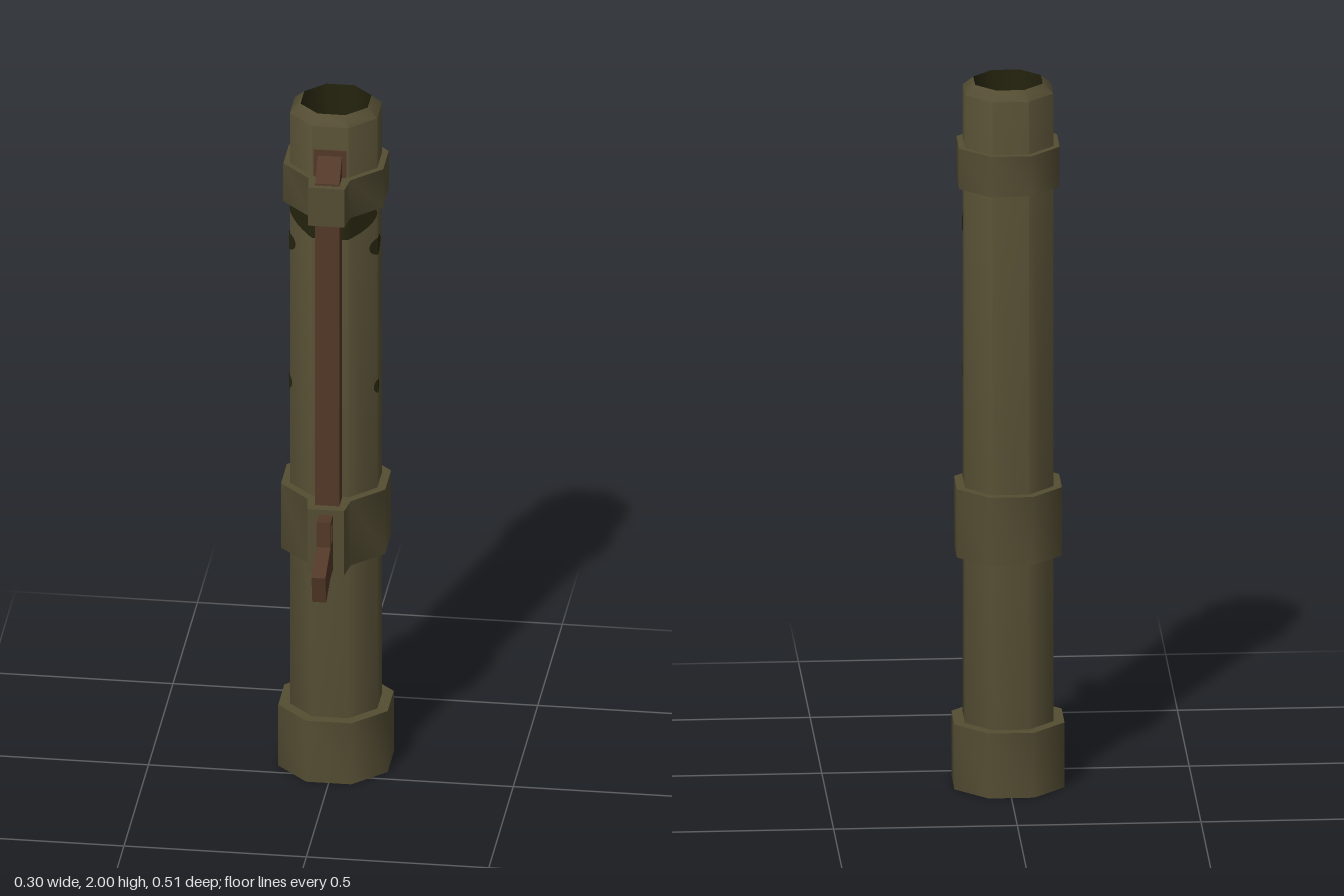
import * as THREE from 'three';
import { toCreasedNormals } from 'three/addons/utils/BufferGeometryUtils.js';

const AXIS_Z = -0.105;              // tube axis
const T = Math.tan(Math.PI / 8);    // half side of an octagon with apothem 1
const C = Math.cos(Math.PI / 8);
const R = 0.12;                     // tube apothem

const mat = (name, color, side = THREE.FrontSide) => {
  const m = new THREE.MeshStandardMaterial({ color, side });
  m.name = name;
  return m;
};

// Eight-sided turned part, profile as [apothem, height]
function octagonLathe(profile) {
  const pts = profile.map(([a, y]) => new THREE.Vector2(a / C, y));
  const g = new THREE.LatheGeometry(pts, 8, Math.PI / 8);
  return toCreasedNormals(g, 0.85).translate(0, 0, AXIS_Z);
}

// Octagonal clamp with a raised block on its front
function clampGeometry(a, frontZ, y0, y1) {
  const h = a * T;
  const right = [[h, -a], [a, -h], [a, h], [h, a], [0.05, frontZ - AXIS_Z]];
  const outline = [...right, ...right.map(([x, z]) => [-x, z]).reverse()];
  const shape = new THREE.Shape(outline.map(([x, z]) => new THREE.Vector2(x, -z)));
  const g = new THREE.ExtrudeGeometry(shape, { depth: y1 - y0, bevelEnabled: false });
  g.rotateX(-Math.PI / 2).translate(0, y0, AXIS_Z);
  return toCreasedNormals(g, 0.85);
}

// Side profile in [z, y] extruded across x
function sideGeometry(points, width, hole) {
  const v = (list) => list.map(([z, y]) => new THREE.Vector2(z, y));
  const shape = new THREE.Shape(v(points));
  if (hole) shape.holes.push(new THREE.Path(v(hole)));
  const g = new THREE.ExtrudeGeometry(shape, { depth: width, bevelEnabled: false });
  return g.translate(0, 0, -width / 2).rotateY(-Math.PI / 2);
}

// Point on the tube wall at distance s round from the front centre
function wallPoint(s, y, a) {
  const h = R * T, k = a / R, u = Math.abs(s), d = Math.SQRT1_2;
  let x, z;
  if (u <= h) [x, z] = [u, R];
  else if (u <= 3 * h) [x, z] = [h + (u - h) * d, R - (u - h) * d];
  else [x, z] = [R, h - (u - 3 * h)];
  return [Math.sign(s) * x * k, y, z * k + AXIS_Z];
}

// Elliptical stain folded round the tube's corners
function stainGeometry(s0, y0, rs, ry) {
  const cols = [];
  for (let i = 0; i <= 14; i++) cols.push(s0 - rs * Math.cos((i / 14) * Math.PI));
  for (const k of [-3, -1, 1, 3]) {
    const s = k * R * T;
    if (Math.abs(s - s0) < rs) cols.push(s);
  }
  cols.sort((a, b) => a - b);
  const pos = [], index = [];
  cols.forEach((s, i) => {
    const h = ry * Math.sqrt(Math.max(0, 1 - ((s - s0) / rs) ** 2));
    pos.push(...wallPoint(s, y0 - h, R + 0.002), ...wallPoint(s, y0 + h, R + 0.002));
    if (i) {
      const b = 2 * i;
      index.push(b - 2, b, b + 1, b - 2, b + 1, b - 1);
    }
  });
  const g = new THREE.BufferGeometry();
  g.setAttribute('position', new THREE.Float32BufferAttribute(pos, 3));
  g.setIndex(index);
  g.computeVertexNormals();
  return g;
}

export function createModel() {
  const group = new THREE.Group();
  const olive = mat('olive', 0x544d33);
  const brown = mat('brown', 0x523828);
  const dark = mat('dark', 0x25240f, THREE.DoubleSide);
  const add = (name, geometry, material) => {
    const mesh = new THREE.Mesh(geometry, material);
    mesh.name = name;
    group.add(mesh);
  };

  // Tube, bore and foot
  add('tube', octagonLathe([[R, 0.1], [R, 1.975], [0.092, 2]]), olive);
  add('bore', octagonLathe([[0.092, 2], [0.092, 1.75], [0, 1.75]]), dark);
  add('foot', octagonLathe([[0, 0], [0.15, 0], [0.15, 0.185], [R - 0.01, 0.185]]), olive);

  // Clamps
  add('lowerClamp', clampGeometry(0.143, 0.1, 0.66, 0.855), olive);
  add('upperClamp', clampGeometry(0.137, 0.09, 1.71, 1.825), olive);

  // Long rail with a slanted tip
  add('rail', sideGeometry([[0.01, 0.84], [0.073, 0.84], [0.073, 1.83], [0.015, 1.893], [0.01, 1.893]], 0.066), brown);
  add('railPlate', new THREE.BoxGeometry(0.09, 0.085, 0.006).translate(0, 1.863, 0.016), brown);

  // Lever and its guard loop
  add('lever', sideGeometry([[0.09, 0.675], [0.147, 0.675], [0.237, 0.643], [0.254, 0.724], [0.147, 0.765], [0.09, 0.765]], 0.038), brown);
  add('guard', sideGeometry(
    [[0.095, 0.76], [0.147, 0.76], [0.147, 0.84], [0.095, 0.84]], 0.038,
    [[0.108, 0.772], [0.108, 0.825], [0.139, 0.825], [0.139, 0.772]]), brown);

  // Dark stains
  add('frontStain', stainGeometry(0, 1.69, 0.147, 0.056), dark);
  for (const side of [1, -1]) {
    add('upperStain', stainGeometry(side * 0.158, 1.588, 0.038, 0.026), dark);
    add('lowerStain', stainGeometry(side * 0.152, 1.163, 0.017, 0.02), dark);
  }
  return group;
}
